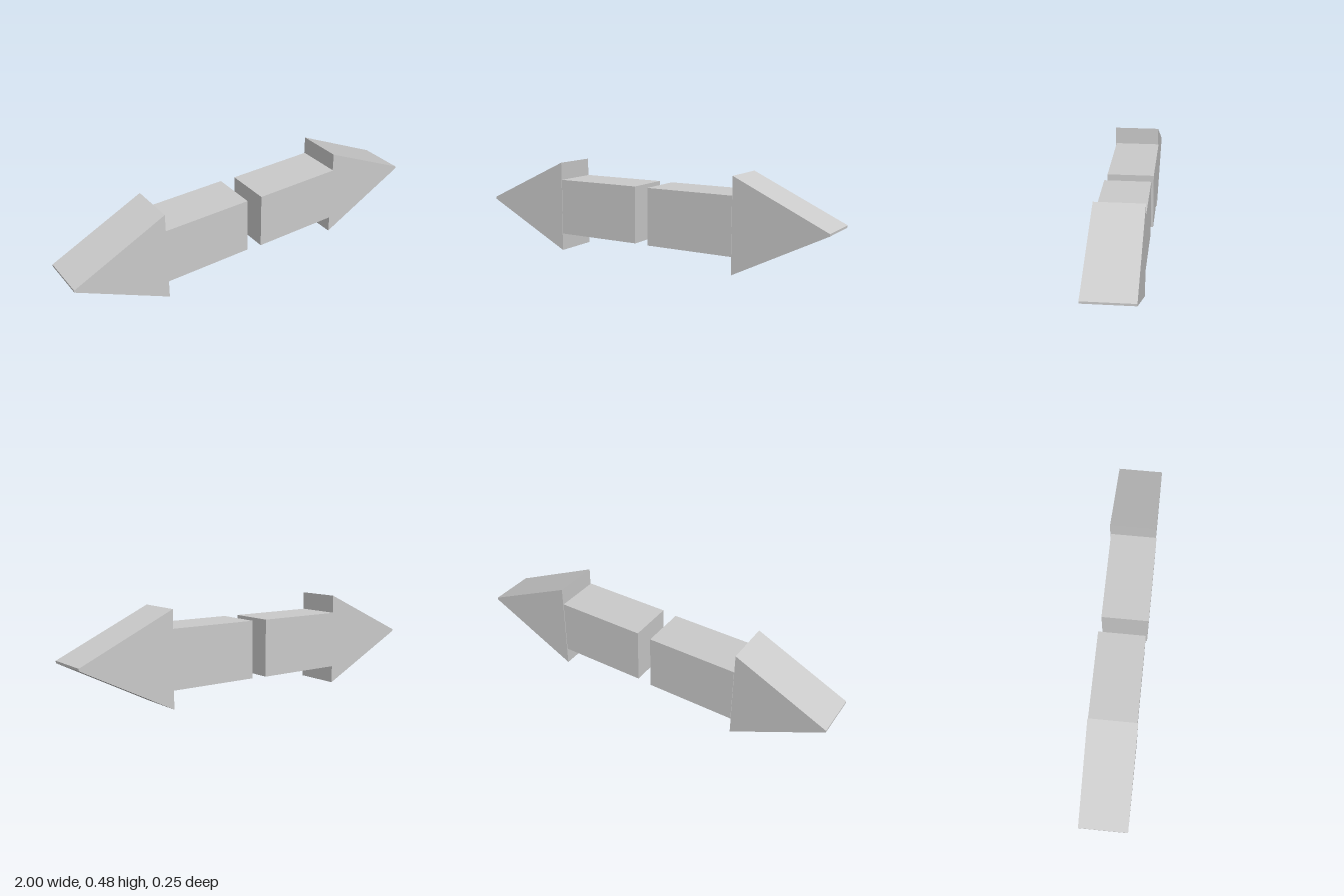
import * as THREE from 'three';

const DEPTH = 0.242;

// Extrudes a side outline, centred in z
function slab(points, material) {
  const shape = new THREE.Shape(points.map(([x, y]) => new THREE.Vector2(x, y)));
  const geometry = new THREE.ExtrudeGeometry(shape, { depth: DEPTH, bevelEnabled: false });
  geometry.translate(0, 0, -DEPTH / 2);
  return new THREE.Mesh(geometry, material);
}

export function createModel() {
  const model = new THREE.Group();
  model.name = 'doubleArrow';
  const material = new THREE.MeshStandardMaterial({ color: 0xcccccc, flatShading: true });

  for (const side of [1, -1]) {
    const arrow = new THREE.Group();
    arrow.name = side > 0 ? 'leftArrow' : 'rightArrow';

    // Wedge head with a narrow blunt tip
    const head = slab([
      [side * 0.515, 0], [side, 0.246], [side, 0.257], [side * 0.515, 0.484],
    ], material);
    head.name = 'arrowHead';

    // Shaft, set slightly off the head's centre plane
    const shaft = slab([
      [side * 0.04, 0.092], [side * 0.515, 0.092], [side * 0.515, 0.39], [side * 0.04, 0.39],
    ], material);
    shaft.name = 'arrowShaft';
    shaft.position.z = side * 0.004;

    arrow.add(head, shaft);
    model.add(arrow);
  }
  return model;
}
